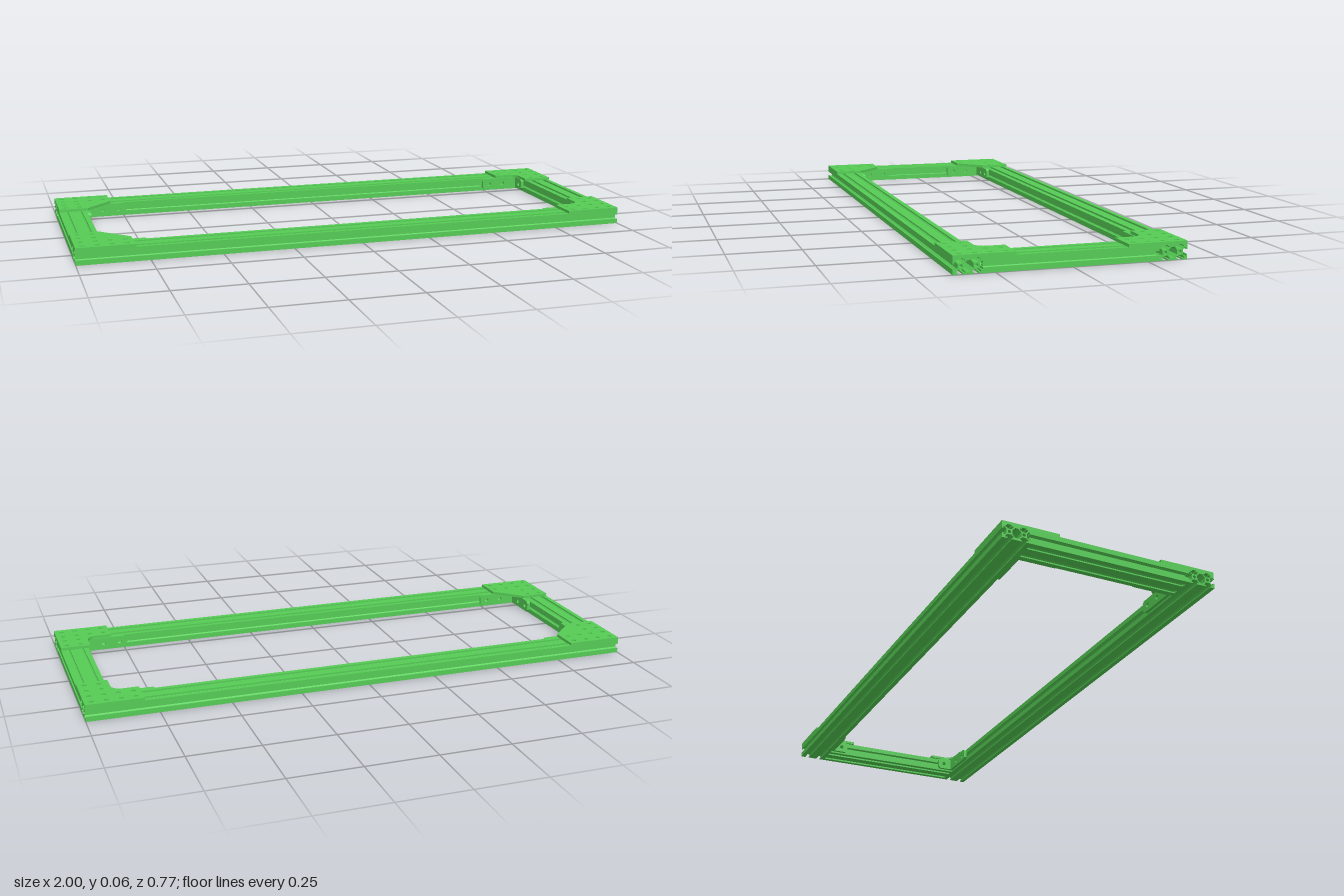
import * as THREE from 'three';

const MM = 0.0025; // profile is drawn in 20 x 40 units
const H = 0.05, X = 1, Z = 0.384, W = 0.1;
const material = new THREE.MeshStandardMaterial({ color: 0x55cc55 });

function addHole(shape, x, y, r, n = 12) {
  const pts = [];
  for (let i = 0; i < n; i++) {
    const a = (i / n) * Math.PI * 2;
    pts.push(new THREE.Vector2(x + r * Math.cos(a), y + r * Math.sin(a)));
  }
  shape.holes.push(new THREE.Path(pts));
}

const extrude = (shape, depth) => new THREE.ExtrudeGeometry(shape, { depth, bevelEnabled: false });

function addMesh(parent, name, geometry) {
  const mesh = new THREE.Mesh(geometry, material);
  mesh.name = name;
  parent.add(mesh);
  return mesh;
}

// Double T-slot section: six slots, two bores and a hexagonal middle chamber
function railSection() {
  const slot = [[-3.1, 10], [-3.1, 8.2], [-5.5, 8.2], [-5.5, 6.56], [-2.84, 3.9],
    [2.84, 3.9], [5.5, 6.56], [5.5, 8.2], [3.1, 8.2], [3.1, 10]];
  const pts = [];
  const side = (cx, turns) => {
    for (const [u, v] of slot) {
      const p = new THREE.Vector2(u, v).rotateAround(new THREE.Vector2(), -turns * Math.PI / 2);
      pts.push(new THREE.Vector2((p.x + cx) * MM, p.y * MM + H / 2));
    }
  };
  const corner = (x, y) => pts.push(new THREE.Vector2(x * MM, y * MM + H / 2));
  corner(-20, 10); side(-10, 0); side(10, 0);
  corner(20, 10); side(10, 1);
  corner(20, -10); side(10, 2); side(-10, 2);
  corner(-20, -10); side(-10, 3);
  const shape = new THREE.Shape(pts);
  for (const s of [-1, 1]) addHole(shape, s * 10 * MM, H / 2, 2.3 * MM, 16);
  const chamber = [[-6.1, -2.84], [-1.9, -7], [1.9, -7], [6.1, -2.84],
    [6.1, 2.84], [1.9, 7], [-1.9, 7], [-6.1, 2.84]];
  shape.holes.push(new THREE.Path(chamber.map(([x, y]) => new THREE.Vector2(x * MM, y * MM + H / 2))));
  return shape;
}

// Flat corner plate: chamfered gusset on one end of the frame, filleted L on the other
function cornerPlate(sx, sz) {
  const pts = [[1, 0.184], [1, Z], [0.8, Z], [0.8, 0.278]];
  if (sx < 0) pts.push([0.89, 0.19]);
  else {
    const r = 0.035, cx = 0.892 - r, cz = 0.278 - r;
    for (let i = 0; i <= 6; i++) {
      const a = Math.PI / 2 * (1 - i / 6);
      pts.push([cx + r * Math.cos(a), cz + r * Math.sin(a)]);
    }
  }
  pts.push([0.892, 0.184]);
  const shape = new THREE.Shape(pts.map(([x, z]) => new THREE.Vector2(sx * x, -sz * z)));
  for (let i = 0; i < 4; i++) {
    for (let j = 0; j < 4; j++) {
      if (i > 1 && j > 1) continue;
      addHole(shape, sx * (0.975 - i * 0.05), -sz * (0.359 - j * 0.05), 0.008);
    }
  }
  return extrude(shape, 0.01).rotateX(-Math.PI / 2).translate(0, H, 0);
}

// Upright bracket leg lying against a rail, with clipped free end and bolt holes
function bracketLeg(from, to, sign, holes) {
  const y0 = 0.006, y1 = H, c = 0.008, d = Math.sign(to - from) * c;
  const pts = [[from, y0], [to - d, y0], [to, y0 + c], [to, y1 - c], [to - d, y1], [from, y1]];
  const shape = new THREE.Shape(pts.map(([x, y]) => new THREE.Vector2(sign * x, y)));
  for (const h of holes) addHole(shape, sign * h, 0.027, 0.008);
  return extrude(shape, 0.012);
}

export function createModel() {
  const group = new THREE.Group();
  group.name = 'railFrame';
  const section = railSection();

  // Long rails run the full length, short rails fit between them
  const longRail = extrude(section, 2 * X).rotateY(Math.PI / 2).translate(-X, 0, 0);
  const shortLength = 2 * (Z - W);
  const shortRail = extrude(section, shortLength).translate(0, 0, -shortLength / 2);
  for (const s of [1, -1]) {
    addMesh(group, s > 0 ? 'frontRail' : 'backRail', longRail).position.z = s * (Z - W / 2);
    addMesh(group, s > 0 ? 'leftRail' : 'rightRail', shortRail).position.x = s * (X - W / 2);
  }

  // Corner plates with their inner brackets
  for (const sx of [-1, 1]) {
    for (const sz of [-1, 1]) {
      const corner = new THREE.Group();
      corner.name = (sz > 0 ? 'front' : 'back') + (sx > 0 ? 'Left' : 'Right') + 'Corner';
      addMesh(corner, 'cornerPlate', cornerPlate(sx, sz));

      const legX = addMesh(corner, 'longRailBracket', bracketLeg(0.9, 0.742, sx, [0.77, 0.83]));
      legX.position.z = sz > 0 ? Z - W - 0.012 : -(Z - W);

      const end = sx < 0 ? 0.135 : 0.215;
      const legZ = addMesh(corner, 'shortRailBracket',
        bracketLeg(Z - W, end, -sz, sx < 0 ? [0.16, 0.22] : [0.24]).rotateY(Math.PI / 2));
      legZ.position.x = sx > 0 ? X - W - 0.012 : -(X - W);
      group.add(corner);
    }
  }
  return group;
}
